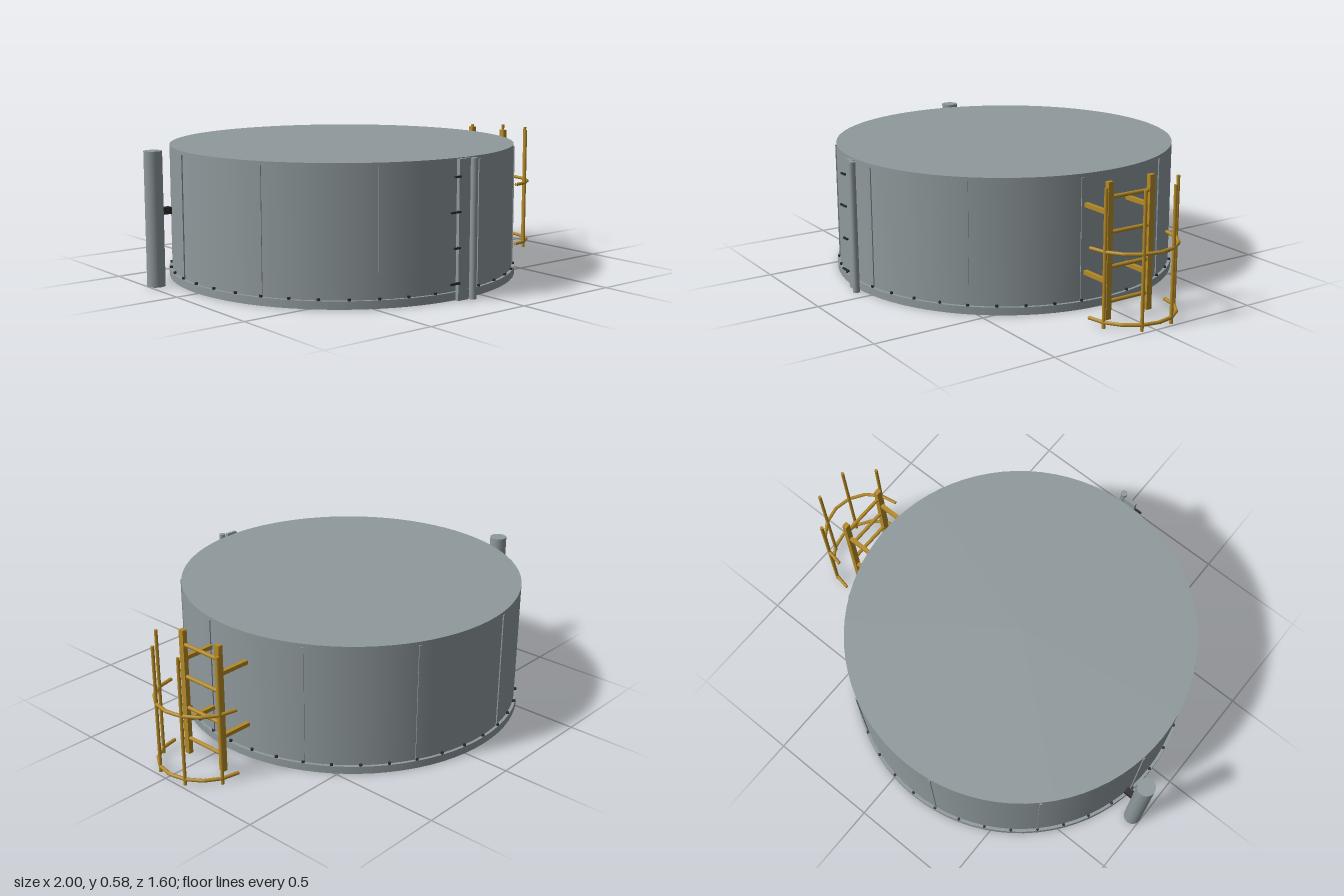
import * as THREE from 'three';

export function createModel() {
  const model = new THREE.Group();
  model.name = 'storageTank';
  const material = (name, color) => {
    const m = new THREE.MeshStandardMaterial({ color });
    m.name = name;
    return m;
  };
  const steel = material('grey steel', 0x8f999c);
  const yellow = material('safety yellow', 0xb58a26);
  const dark = material('dark metal', 0x2b2d2e);

  const add = (parent, name, geometry, mat, x, y, z) => {
    const mesh = new THREE.Mesh(geometry, mat);
    mesh.name = name;
    mesh.position.set(x, y, z);
    parent.add(mesh);
    return mesh;
  };
  const box = (parent, name, mat, w, h, d, x, y, z) =>
    add(parent, name, new THREE.BoxGeometry(w, h, d), mat, x, y, z);
  const post = (parent, name, mat, r, h, x, y, z, sides = 12) =>
    add(parent, name, new THREE.CylinderGeometry(r, r, h, sides), mat, x, y, z);

  const H = 0.58, CX = -0.122, CZ = -0.02, R = 0.765;

  // Tank shell and base flange
  const tank = new THREE.Group();
  tank.name = 'tank';
  tank.position.set(CX, 0, CZ);
  model.add(tank);
  post(tank, 'shell', steel, R, H - 0.004, 0, H / 2 + 0.002, 0, 80);
  post(tank, 'baseFlange', steel, 0.778, 0.034, 0, 0.017, 0, 80);

  // Ring of flange bolts
  for (let i = 0; i < 40; i++) {
    const a = (i * Math.PI) / 20;
    post(tank, 'flangeBolt', dark, 0.007, 0.009, 0.771 * Math.sin(a), 0.0385, 0.771 * Math.cos(a), 6);
  }

  // Vertical panel seams
  for (let i = 0; i < 10; i++) {
    const a = ((9 + 36 * i) * Math.PI) / 180;
    const seam = box(tank, 'panelSeam', steel, 0.011, 0.53, 0.01, R * Math.sin(a), 0.3, R * Math.cos(a));
    seam.rotation.y = a;
  }

  // Stand pipe with its wall connector
  post(model, 'standPipe', steel, 0.039, H, -0.961, H / 2, -0.235, 24);
  box(model, 'pipeConnector', dark, 0.05, 0.03, 0.028, -0.91, 0.32, -0.235);

  // Level gauge: board, tube and pointers
  const gauge = new THREE.Group();
  gauge.name = 'levelGauge';
  model.add(gauge);
  box(gauge, 'gaugeBoard', steel, 0.058, H, 0.016, -0.121, H / 2, 0.769);
  post(gauge, 'gaugeTube', steel, 0.015, H, -0.075, H / 2, 0.783, 16);
  [0.51, 0.367, 0.22, 0.075].forEach((y, i) => {
    const length = i % 2 ? 0.052 : 0.034;
    box(gauge, 'gaugePointer', dark, length, 0.008, 0.008, -0.146 - length / 2, y, 0.782);
    box(gauge, 'pointerMount', dark, 0.008, 0.008, 0.012, -0.15, y, 0.776);
  });

  // Ladder: stiles, wall brackets and rungs
  const ladder = new THREE.Group();
  ladder.name = 'cagedLadder';
  ladder.position.set(0.793, 0, CZ);
  model.add(ladder);
  for (const s of [-1, 1]) {
    box(ladder, 'ladderStile', yellow, 0.022, H, 0.026, 0, H / 2, s * 0.107);
    for (const y of [0.16, 0.45])
      box(ladder, 'wallBracket', yellow, 0.15, 0.018, 0.018, -0.075, y, s * 0.107);
  }
  for (const y of [0.075, 0.222, 0.368, 0.515])
    post(ladder, 'rung', yellow, 0.0085, 0.21, 0, y, 0).rotation.x = Math.PI / 2;

  // Safety cage: half-round hoops and vertical bars
  const CAGE = 0.2;
  const cagePoint = (a) => new THREE.Vector3(CAGE * Math.cos(a), 0, CAGE * Math.sin(a));
  const hoopPath = new THREE.CurvePath();
  const step = Math.PI / 8;
  for (let i = -4; i < 4; i++)
    hoopPath.add(new THREE.LineCurve3(cagePoint(i * step), cagePoint((i + 1) * step)));
  const hoopGeometry = new THREE.TubeGeometry(hoopPath, 64, 0.008, 8);
  const capGeometry = new THREE.CircleGeometry(0.008, 8);
  for (const y of [0.026, 0.32]) {
    add(ladder, 'cageHoop', hoopGeometry, yellow, 0, y, 0);
    for (const s of [-1, 1])
      add(ladder, 'hoopEnd', capGeometry, yellow, 0, y, s * CAGE).rotation.y = -Math.PI / 2;
  }
  for (const k of [-3, -1, 1, 3]) {
    const p = cagePoint(k * step);
    post(ladder, 'cageBar', yellow, 0.0075, H, p.x, H / 2, p.z, 10);
  }
  return model;
}
